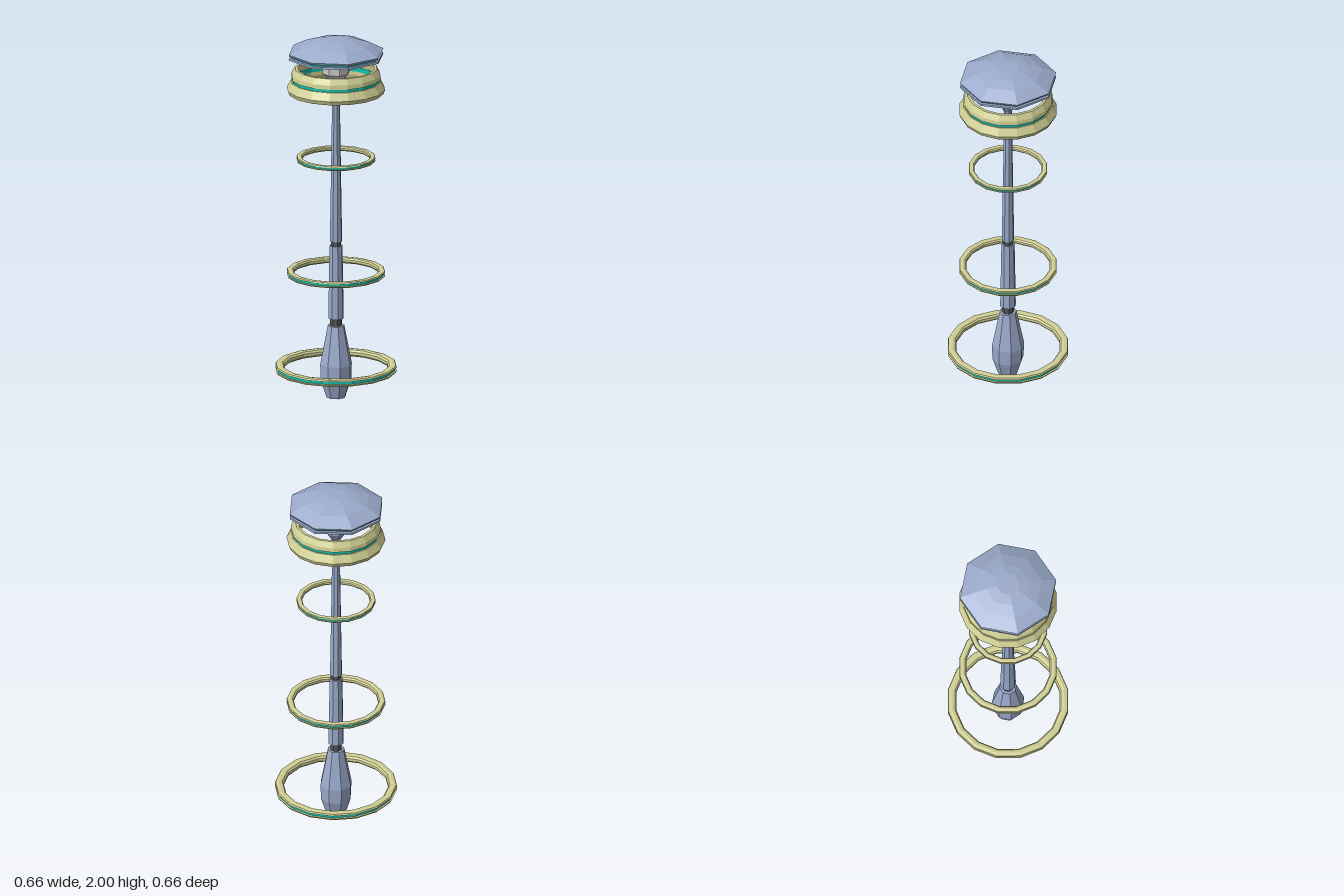
import * as THREE from 'three';

const material = (color) => new THREE.MeshStandardMaterial({ color, flatShading: true });

export function createModel() {
  const model = new THREE.Group();
  const blue = material(0x9aaacb);
  const gold = material(0xd0cf94);
  const teal = material(0x10bfae);
  const dark = material(0x555555);
  const grey = material(0xcccccc);

  // Faceted turned part; profile is [radius, height] pairs running up the outside.
  function turned(name, profile, sides, mat, parent = model) {
    const points = profile.map(([r, y]) => new THREE.Vector2(r, y));
    const mesh = new THREE.Mesh(new THREE.LatheGeometry(points, sides), mat);
    mesh.name = name;
    parent.add(mesh);
    return mesh;
  }

  // Three shaft sections joined by dark necks
  turned('shaftBase', [[0, 0], [0.053, 0], [0.085, 0.1], [0.088, 0.185], [0.046, 0.4], [0, 0.4]], 8, blue);
  turned('lowerNeck', [[0.032, 0.39], [0.032, 0.455]], 8, dark);
  turned('shaftMiddle', [[0, 0.44], [0.043, 0.44], [0.036, 0.845], [0, 0.845]], 8, blue);
  turned('upperNeck', [[0.028, 0.835], [0.028, 0.885]], 8, dark);
  turned('shaftTop', [[0, 0.87], [0.034, 0.87], [0.027, 1.3], [0.021, 1.7],
    [0.025, 1.72], [0.055, 1.77], [0.055, 1.79], [0, 1.79]], 8, blue);

  // Lamp bulb held in the cup
  turned('bulb', [[0, 1.775], [0.045, 1.78], [0.075, 1.81], [0.077, 1.85], [0.066, 1.878],
    [0.045, 1.892], [0.03, 1.93]], 8, grey);

  // Floating rings, each with a coloured band set in its outer groove
  [[0.165, 1], [0.695, 0.81], [1.332, 0.65]].forEach(([y, scale], i) => {
    const ring = new THREE.Group();
    ring.name = `floatingRing${i + 1}`;
    turned('ringBody', [[0.319, -0.007], [0.329, -0.009], [0.325, -0.018], [0.308, -0.021],
      [0.29, -0.018], [0.282, -0.008], [0.282, 0.008], [0.29, 0.018], [0.308, 0.021],
      [0.325, 0.018], [0.329, 0.009], [0.319, 0.007]].map(([r, h]) => [r, h]), 16, gold, ring);
    // Section runs clockwise from the groove, so flip the faces outward
    const body = ring.children[0].geometry;
    const index = body.index.array;
    for (let k = 0; k < index.length; k += 3) [index[k], index[k + 1]] = [index[k + 1], index[k]];
    body.computeVertexNormals();
    turned('ringBand', [[0.32, -0.009], [0.32, 0.009]], 16, teal, ring);
    ring.position.y = y;
    ring.scale.setScalar(scale);
    model.add(ring);
  });

  // Open collar around the bulb, with a band between its two halves
  turned('collarLower', [[0.236, 1.7], [0.257, 1.7], [0.266, 1.722], [0.243, 1.765],
    [0.222, 1.765], [0.222, 1.74], [0.236, 1.7]], 16, gold);
  turned('collarBand', [[0.218, 1.762], [0.236, 1.762], [0.236, 1.786], [0.218, 1.786],
    [0.218, 1.762]], 16, teal);
  turned('collarUpper', [[0.222, 1.782], [0.243, 1.782], [0.24, 1.805], [0.223, 1.837],
    [0.208, 1.837], [0.222, 1.782]], 16, gold);

  // Eight-sided cap with a hollowed underside and a band in its rim
  turned('capRim', [[0, 1.93], [0.06, 1.925], [0.24, 1.897], [0.263, 1.897], [0.261, 1.907],
    [0.24, 1.909]], 8, blue);
  turned('capBand', [[0.247, 1.905], [0.247, 1.919]], 8, teal);
  turned('capTop', [[0.24, 1.917], [0.258, 1.917], [0.263, 1.928], [0.186, 1.968], [0.12, 1.989],
    [0.063, 2], [0, 2]], 8, blue);

  return model;
}
